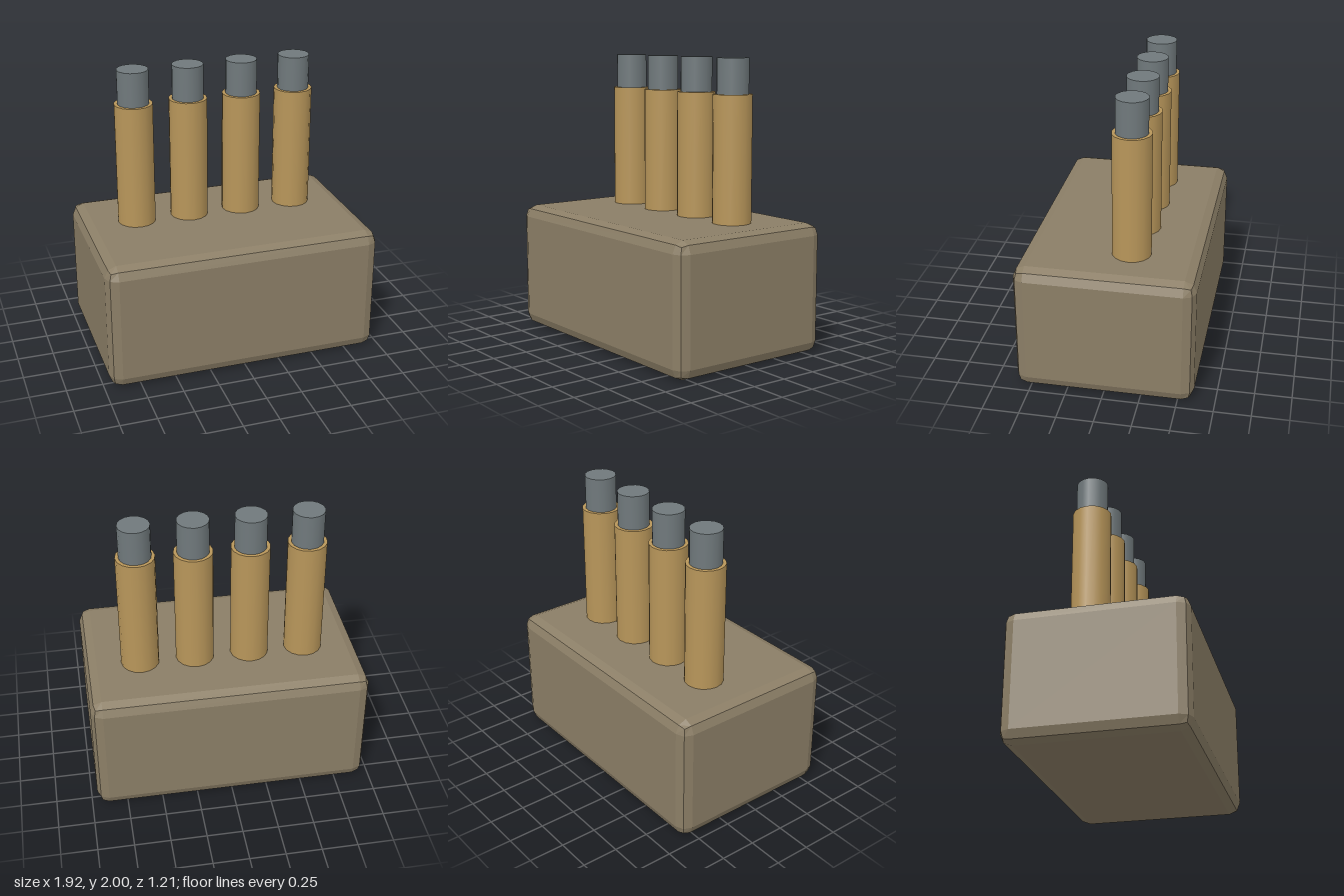
import * as THREE from 'three';
import { RoundedBoxGeometry } from 'three/addons/geometries/RoundedBoxGeometry.js';

const blockMat = new THREE.MeshStandardMaterial({ color: 0x8b7e66, flatShading: true });
const sleeveMat = new THREE.MeshStandardMaterial({ color: 0xb8965a });
const coreMat = new THREE.MeshStandardMaterial({ color: 0x70797c });

// Upright cylinder spanning y0 to y1
function rod(name, radius, y0, y1, material) {
  const mesh = new THREE.Mesh(new THREE.CylinderGeometry(radius, radius, y1 - y0, 16), material);
  mesh.name = name;
  mesh.position.y = (y0 + y1) / 2;
  return mesh;
}

export function createModel() {
  const model = new THREE.Group();
  model.name = 'pinBlock';

  // Base block with a two-step bevel on every edge
  const block = new THREE.Mesh(new RoundedBoxGeometry(1.92, 0.896, 1.212, 1, 0.08), blockMat);
  block.name = 'block';
  block.position.y = 0.448;
  model.add(block);

  // Row of four sleeved pins, set behind the middle
  for (let i = 0; i < 4; i++) {
    const pin = new THREE.Group();
    pin.name = 'pin' + (i + 1);
    pin.position.set((i - 1.5) * 0.384, 0, -0.128);
    pin.add(rod('sleeve', 0.133, 0.88, 1.76, sleeveMat));
    pin.add(rod('core', 0.109, 1.74, 2, coreMat));
    model.add(pin);
  }
  return model;
}
